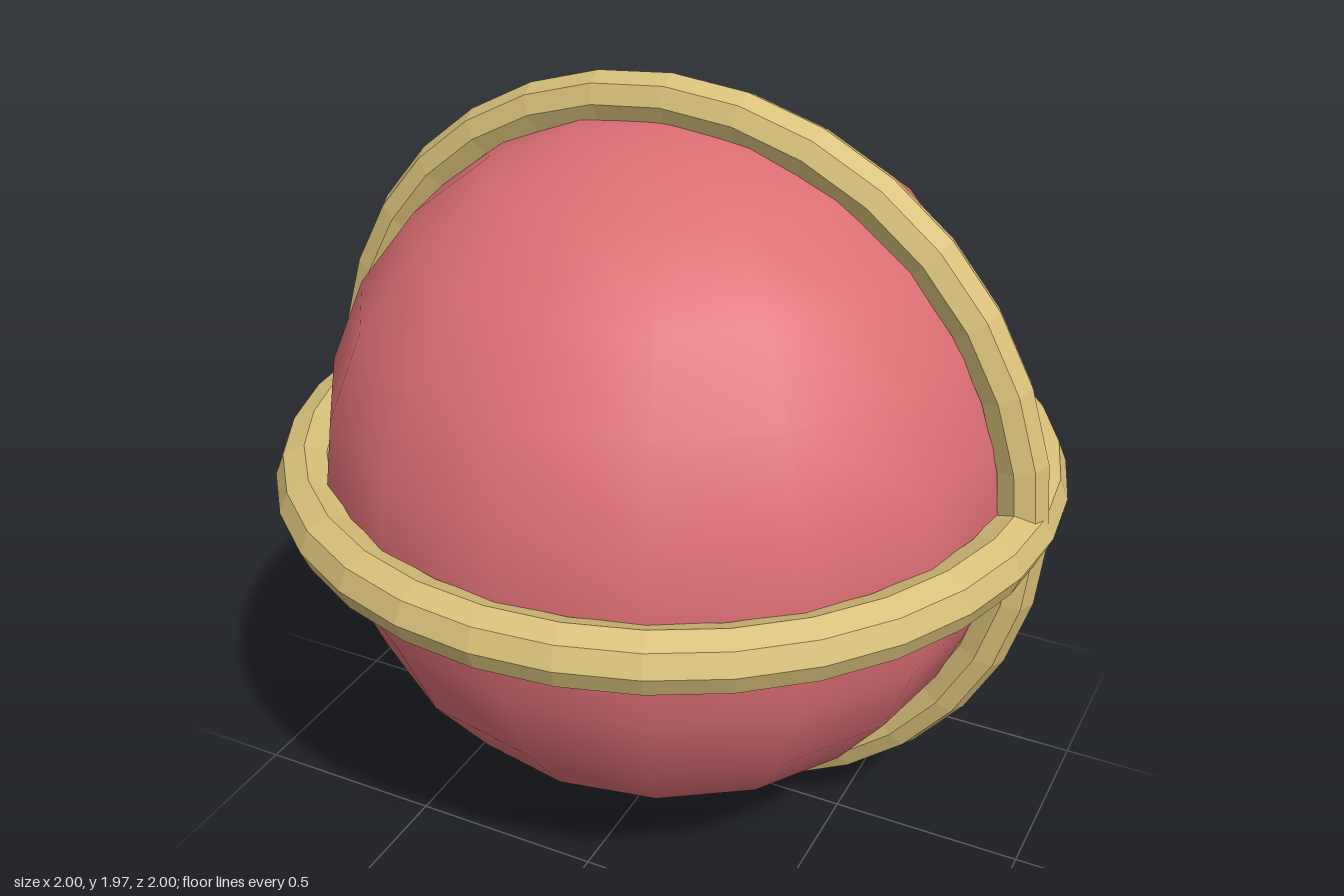
import * as THREE from 'three';

export function createModel() {
  const model = new THREE.Group();
  const centreY = 0.987;
  const rose = new THREE.MeshStandardMaterial({ color: 0xdc6e74 });
  rose.name = 'rose';
  const gold = new THREE.MeshStandardMaterial({ color: 0xd8c07a });
  gold.name = 'gold';

  const add = (name, geometry, material) => {
    const mesh = new THREE.Mesh(geometry, material);
    mesh.name = name;
    mesh.position.y = centreY;
    model.add(mesh);
    return mesh;
  };

  // Smooth ball
  add('ball', new THREE.SphereGeometry(0.886, 16, 12), rose);

  // Faceted bands: split corners so every facet keeps its own normal
  const band = (name, tube) => {
    const geometry = new THREE.TorusGeometry(0.922, tube, 8, 32).toNonIndexed();
    geometry.computeVertexNormals();
    return add(name, geometry, gold);
  };
  band('horizontalBand', 0.076).rotation.x = Math.PI / 2;
  band('verticalBand', 0.065);

  return model;
}
